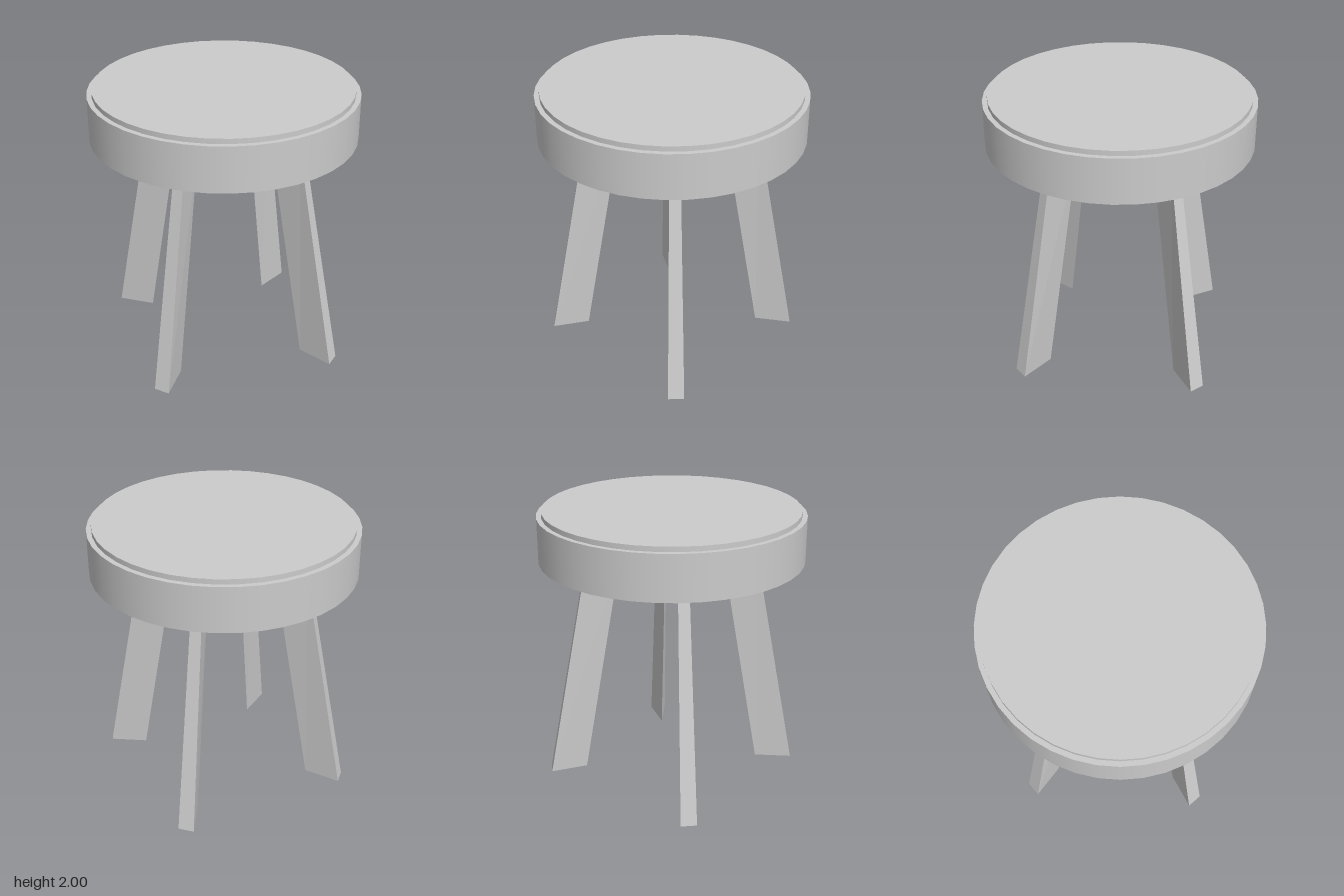
import * as THREE from 'three';

const material = new THREE.MeshStandardMaterial({ color: 0xcccccc });
const SEAT_BOTTOM = 1.645;

// Upright disc between two heights
function disc(name, radius, y0, y1) {
  const geometry = new THREE.CylinderGeometry(radius, radius, y1 - y0, 40);
  geometry.translate(0, (y0 + y1) / 2, 0);
  const mesh = new THREE.Mesh(geometry, material);
  mesh.name = name;
  return mesh;
}

// Triangular section at one height: sharp edge inward, flat face outward
function section(y, inner, outer, halfWidth) {
  return [[0, y, inner], [halfWidth, y, outer], [-halfWidth, y, outer]];
}

// Tapered, splayed prism joining the foot section to the top section
function legGeometry() {
  const foot = section(0, 0.65, 0.914, 0.057);
  const top = section(SEAT_BOTTOM, 0.365, 0.605, 0.038);
  const corners = [...foot, top[0], top[2], top[1]];
  for (let i = 0; i < 3; i++) {
    const j = (i + 1) % 3;
    corners.push(foot[i], top[i], foot[j], foot[j], top[i], top[j]);
  }
  const geometry = new THREE.BufferGeometry();
  geometry.setAttribute('position', new THREE.Float32BufferAttribute(corners.flat(), 3));
  geometry.computeVertexNormals();
  return geometry;
}

export function createModel() {
  const model = new THREE.Group();
  model.name = 'stool';

  // Thick seat with a slightly smaller raised top
  model.add(disc('seat', 0.935, SEAT_BOTTOM, 1.965));
  model.add(disc('seatTop', 0.9, 1.965, 2));

  // Four legs, turned slightly off the axes
  const geometry = legGeometry();
  const names = ['frontLeg', 'leftLeg', 'backLeg', 'rightLeg'];
  names.forEach((name, i) => {
    const leg = new THREE.Mesh(geometry, material);
    leg.name = name;
    leg.rotation.y = THREE.MathUtils.degToRad(4.5 + 90 * i);
    model.add(leg);
  });

  return model;
}
